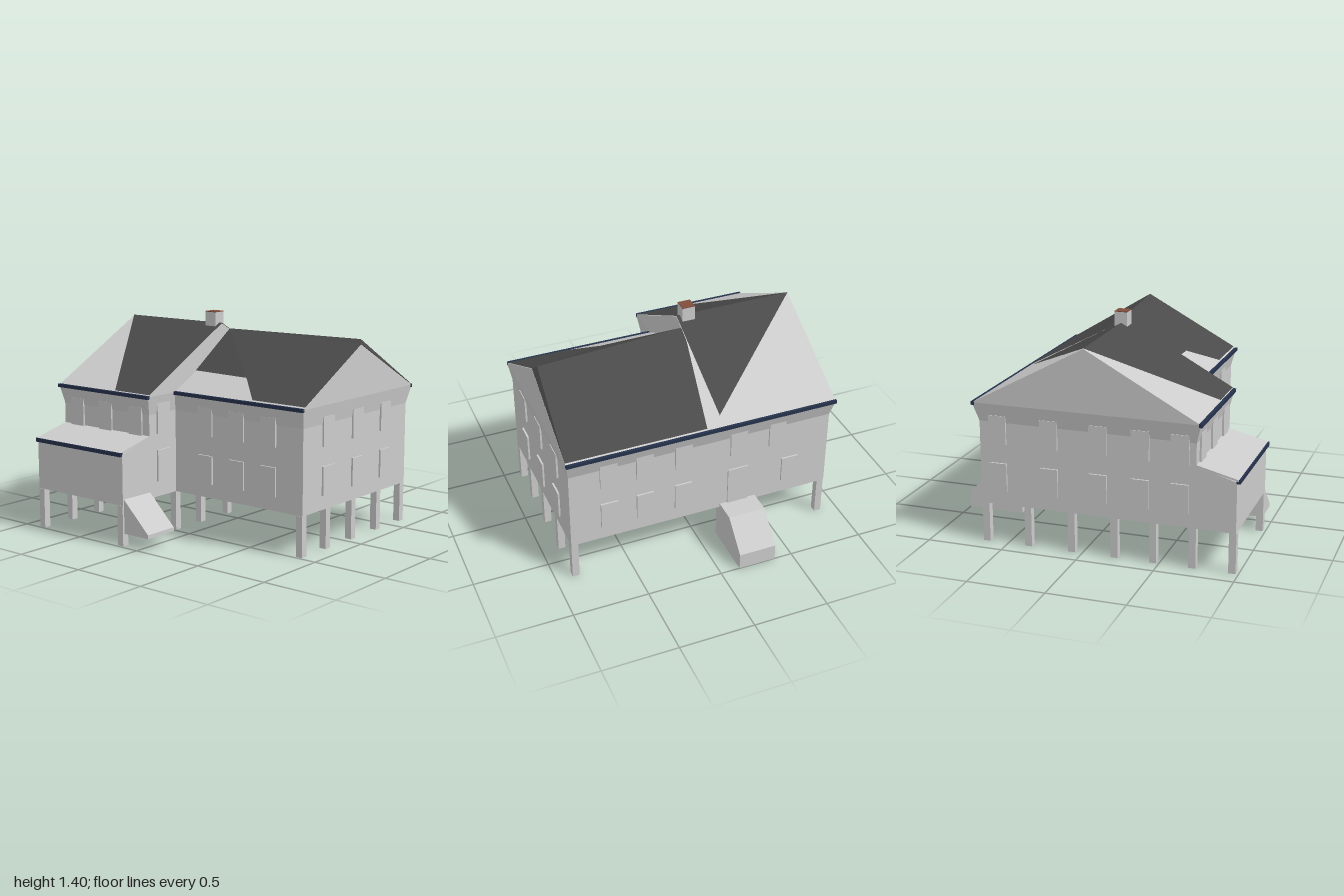
import * as THREE from 'three';

const material = (color, side = THREE.FrontSide) =>
  new THREE.MeshStandardMaterial({ color, flatShading: true, side });
const grey = material(0xcccccc);
const sheetGrey = material(0xcccccc, THREE.DoubleSide);
const slate = material(0x4a4a4a, THREE.DoubleSide);
const navy = material(0x26324c);
const brick = material(0x804d3c);

export function createModel() {
  const group = new THREE.Group();

  const add = (name, geometry, mat = grey) => {
    const mesh = new THREE.Mesh(geometry, mat);
    mesh.name = name;
    group.add(mesh);
    return mesh;
  };
  // Box given by its limits on each axis
  const box = (name, [x0, x1], [y0, y1], [z0, z1], mat) =>
    add(name, new THREE.BoxGeometry(x1 - x0, y1 - y0, z1 - z0), mat)
      .position.set((x0 + x1) / 2, (y0 + y1) / 2, (z0 + z1) / 2);
  const shapeOf = (points) => new THREE.Shape(points.map(([a, b]) => new THREE.Vector2(a, b)));
  const extrude = (points, depth) =>
    new THREE.ExtrudeGeometry(shapeOf(points), { depth, bevelEnabled: false });
  // Profile of [z, y] points swept along x
  const prismX = (name, profile, x0, x1, mat) =>
    add(name, extrude(profile.map(([z, y]) => [-z, y]), x1 - x0)
      .rotateY(Math.PI / 2).translate(x0, 0, 0), mat);
  // Plan outline of [x, z] points, lifted to a height rule
  const sheet = (name, outline, height, mat) => {
    const g = new THREE.ShapeGeometry(shapeOf(outline));
    const p = g.attributes.position;
    for (let i = 0; i < p.count; i++) {
      const x = p.getX(i), z = p.getY(i);
      p.setXYZ(i, x, height(x, z), z);
    }
    g.computeVertexNormals();
    add(name, g, mat);
  };

  // Walls: L-shaped plan, vertical and then flaring out to the eaves
  const plan = [[-0.89, 0.73], [-0.13, 0.73], [-0.13, 0.48], [0.89, 0.48], [0.89, -0.67], [-0.89, -0.67]];
  const eaves = [[-0.91, 0.76], [-0.11, 0.76], [-0.11, 0.51], [0.91, 0.51], [0.91, -0.71], [-0.91, -0.71]];
  const rings = [[plan, 0.26], [plan, 0.8], [eaves, 0.92]];
  const n = plan.length, verts = [], index = [];
  rings.forEach(([ring, y]) => ring.forEach(([x, z]) => verts.push(x, y, z)));
  for (let r = 0; r < 2; r++) {
    for (let i = 0; i < n; i++) {
      const a = r * n + i, b = r * n + (i + 1) % n;
      index.push(a, b, b + n, a, b + n, a + n);
    }
  }
  const walls = new THREE.BufferGeometry();
  walls.setAttribute('position', new THREE.Float32BufferAttribute(verts, 3));
  walls.setIndex(index);
  walls.computeVertexNormals();
  add('walls', walls);
  sheet('floor', plan, () => 0.26, sheetGrey);

  // Gabled roof bodies
  prismX('crossWingRoof', [[0.76, 0.92], [0.03, 1.32], [-0.71, 0.92]], -0.91, -0.11);
  prismX('mainWingRoof', [[0.51, 0.92], [-0.1, 1.25], [-0.71, 0.92]], -0.11, 0.91);

  // Slate areas lying on the roofs
  const crossHeight = (x, z) =>
    0.004 + 1.32 - 0.4 * (z > 0.03 ? (z - 0.03) / 0.73 : (0.03 - z) / 0.74);
  sheet('crossWingFrontSlates',
    [[-0.91, 0.03], [-0.11, 0.03], [-0.11, 0.745], [-0.41, 0.745]], crossHeight, slate);
  sheet('crossWingBackSlates', [[-0.91, 0.03], [-0.11, 0.03], [-0.13, -0.63]], crossHeight, slate);

  const mainHeight = (x, z) => {
    if (z < -0.04 && z > -0.135 && x < 0.9) return 1.28;
    return 0.004 + 1.25 - 0.33 * Math.abs(z + 0.1) / 0.61;
  };
  sheet('mainWingFrontSlates',
    [[-0.11, -0.05], [0.885, -0.13], [0.91, -0.1], [0.91, 0.49], [0.51, 0.49], [0.32, 0.31], [-0.11, 0.3]],
    mainHeight, slate);
  sheet('mainWingBackSlates',
    [[-0.11, -0.05], [0.885, -0.13], [0.91, -0.1], [0.91, -0.69], [-0.02, -0.69], [-0.11, -0.14]],
    mainHeight, slate);

  // Gutters
  box('crossWingGutter', [-0.915, -0.11], [0.905, 0.927], [0.748, 0.768], navy);
  box('mainWingGutter', [-0.11, 0.91], [0.905, 0.927], [0.498, 0.518], navy);
  box('backGutter', [-0.915, 0.91], [0.905, 0.927], [-0.715, -0.695], navy);
  box('porchGutter', [-0.89, -0.13], [0.575, 0.6], [0.976, 1], navy);

  // Enclosed lean-to porch
  prismX('porch', [[0.73, 0.26], [0.98, 0.26], [0.98, 0.585], [0.73, 0.655]], -0.89, -0.13);
  prismX('porchRoof', [[0.73, 0.65], [0.99, 0.588], [0.99, 0.6], [0.73, 0.665]], -0.89, -0.13);

  // Chimney
  box('chimney', [-0.22, -0.135], [1.2, 1.395], [-0.015, 0.07]);
  box('chimneyTop', [-0.22, -0.135], [1.395, 1.4], [-0.015, 0.07], brick);

  // Windows: thin panels standing slightly proud of the walls
  const w = 0.0575, t = 0.012, upper = [0.66, 0.845], lower = [0.35, 0.535];
  const windowZ = (x, y, z) => box('window', [x - w, x + w], y, [z - t, z + t]);
  const windowX = (z, y, x) => box('window', [x - t, x + t], y, [z - w, z + w]);
  [-0.765, -0.51, -0.245].forEach((x) => windowZ(x, upper, 0.73));
  [0.125, 0.38, 0.63].forEach((x) => [upper, lower].forEach((y) => windowZ(x, y, 0.48)));
  [0.225, -0.095, -0.415].forEach((z) => [upper, lower].forEach((y) => windowX(z, y, 0.89)));
  [-0.55, -0.21, 0.11, 0.38, 0.63].forEach((z) => [upper, lower].forEach((y) => windowX(z, y, -0.89)));
  [0.63, 0.39, 0.13, -0.25, -0.52].forEach((x) => windowZ(x, upper, -0.67));
  [0.63, 0.39, 0.13, -0.62].forEach((x) => windowZ(x, lower, -0.67));
  [[0.67, 0.87], [0.36, 0.565]].forEach((y) => windowX(0.605, y, -0.13));
  box('backDoor', [-0.32, -0.18], [0.27, 0.55], [-0.68, -0.66]);

  // Rear landing with sloping stair, and side stair of the porch
  prismX('rearStair',
    [[-0.62, 0], [-0.62, 0.285], [-0.82, 0.285], [-1, 0.11], [-1, 0]], -0.38, -0.13);
  add('porchStair', extrude([[-0.13, 0.3], [-0.13, 0.08], [0.07, 0.08], [0.07, 0.105]], 0.24)
    .translate(0, 0, 0.73));

  // Posts raising the house off the ground
  const rows = [0.96, 0.71, 0.46, 0.21, -0.07, -0.36, -0.645];
  [-0.865, -0.153, 0.867].forEach((x) => rows.forEach((z) => {
    if (x > 0 && z > 0.5) return;
    box('post', [x - 0.023, x + 0.023], [0, 0.26], [z - 0.023, z + 0.023]);
  }));

  return group;
}
